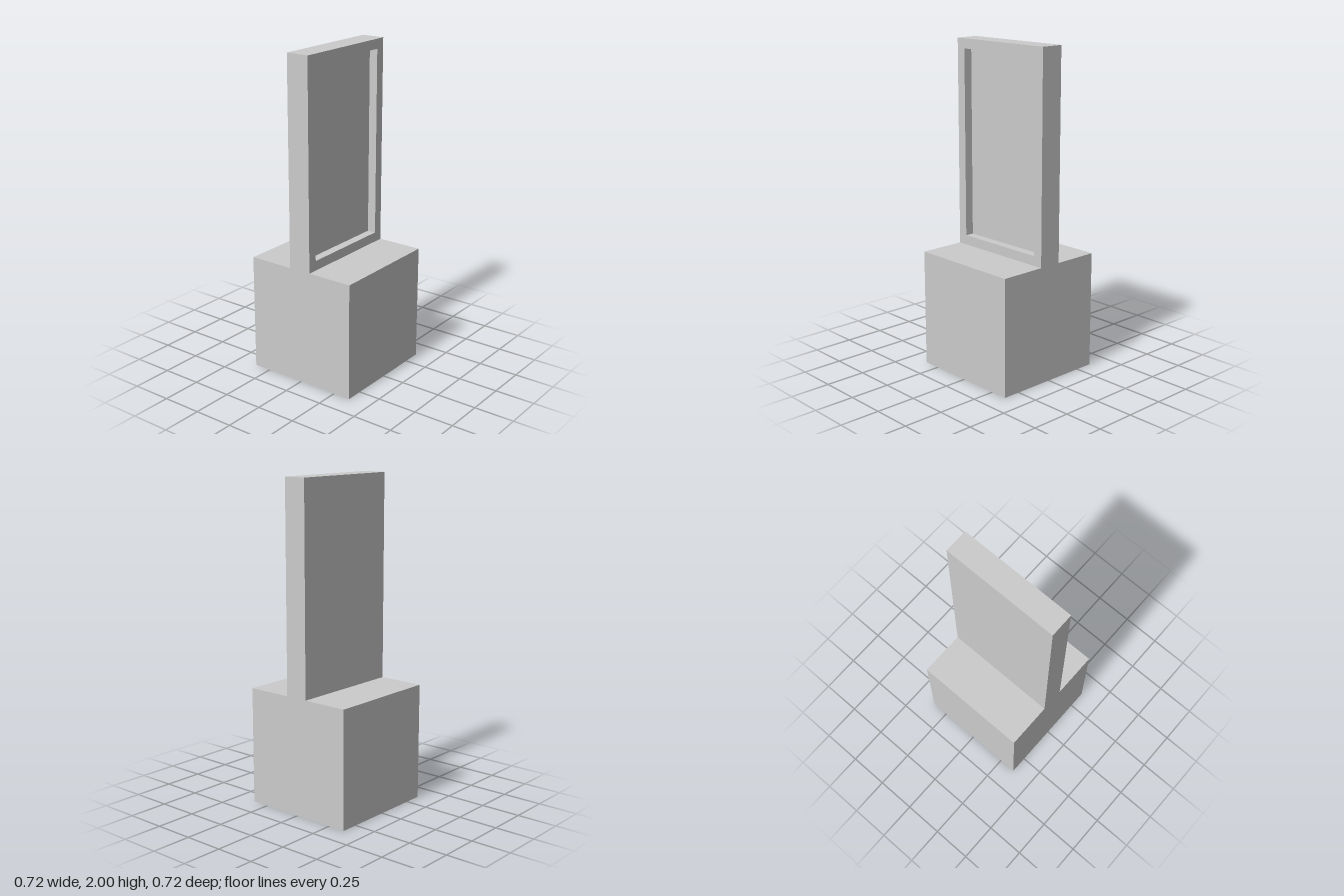
import * as THREE from 'three';

const WIDTH = 0.72, BASE_H = 0.725, TOP = 2;
const HALF_T = 0.0725;   // half the slab thickness
const BORDER = 0.06;     // frame around the recess
const RECESS = 0.054;    // recess depth

// Upright slab with a recessed front: rectangular rings joined in order,
// from the back, round the front border, and down into the recess.
function recessedSlab() {
  const ring = (inset, z) => {
    const w = WIDTH / 2 - inset, y0 = BASE_H + inset, y1 = TOP - inset;
    return [[-w, y0, z], [w, y0, z], [w, y1, z], [-w, y1, z]];
  };
  const rings = [
    ring(0, -HALF_T),
    ring(0, HALF_T),
    ring(BORDER, HALF_T),
    ring(BORDER, HALF_T - RECESS),
  ];
  const positions = [];
  const quad = (a, b, c, d) => positions.push(...a, ...b, ...c, ...a, ...c, ...d);

  for (let i = 0; i < rings.length - 1; i++) {
    for (let k = 0; k < 4; k++) {
      const n = (k + 1) % 4;
      quad(rings[i][k], rings[i][n], rings[i + 1][n], rings[i + 1][k]);
    }
  }
  quad(...[...rings[0]].reverse());      // back face
  quad(...rings[rings.length - 1]);      // recess floor

  const geometry = new THREE.BufferGeometry();
  geometry.setAttribute('position', new THREE.Float32BufferAttribute(positions, 3));
  geometry.computeVertexNormals();
  return geometry;
}

export function createModel() {
  const model = new THREE.Group();
  const material = new THREE.MeshStandardMaterial({ color: 0xcccccc, flatShading: true });

  // Square block the slab stands on
  const base = new THREE.Mesh(new THREE.BoxGeometry(WIDTH, BASE_H, WIDTH), material);
  base.name = 'base';
  base.position.y = BASE_H / 2;

  // Thin upright panel, framed on the front only
  const panel = new THREE.Mesh(recessedSlab(), material);
  panel.name = 'framedPanel';

  model.add(base, panel);
  return model;
}
